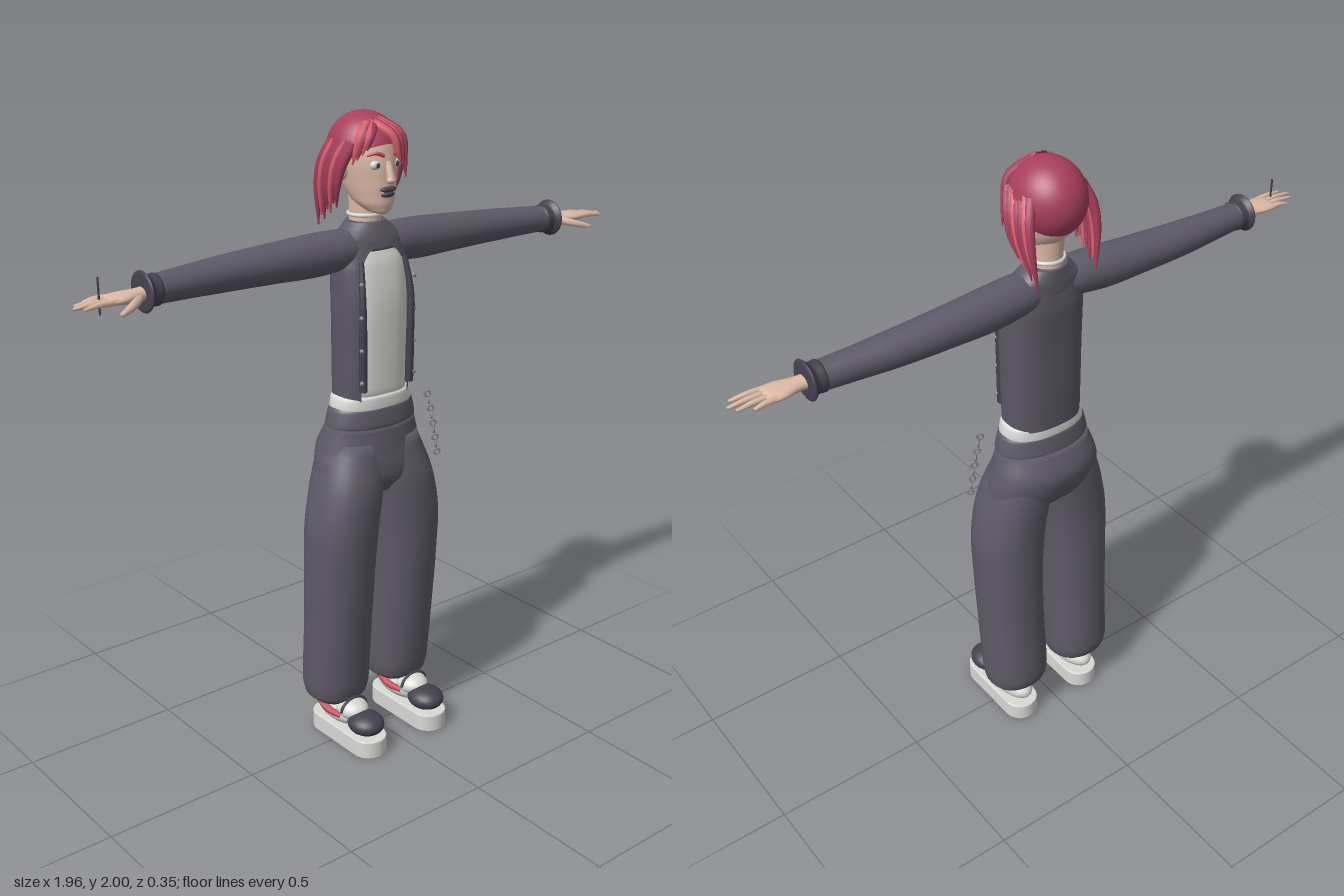
import * as THREE from 'three';

const paint = (name, color, side = THREE.FrontSide) => {
  const m = new THREE.MeshStandardMaterial({ color, side });
  m.name = name;
  return m;
};

// Skin over cross-sections [y, centreX, centreZ, radiusX, radiusZ, frontGap]
function loft(sections, { n = 32, power = 1, steps = 4, open = false } = {}) {
  const V = (a, b, c) => new THREE.Vector3(a, b, c);
  const centres = new THREE.CatmullRomCurve3(sections.map(s => V(s[1], s[0], s[2])), false, 'centripetal');
  const radii = new THREE.CatmullRomCurve3(sections.map(s => V(s[3], s[4], s[5] || 0)), false, 'catmullrom', 0.35);
  const rows = (sections.length - 1) * steps, cols = open ? n + 1 : n;
  const pos = [], idx = [];
  const round = v => Math.sign(v) * Math.pow(Math.abs(v), power);
  for (let i = 0; i <= rows; i++) {
    const c = centres.getPoint(i / rows), r = radii.getPoint(i / rows);
    for (let j = 0; j < cols; j++) {
      const a = Math.PI / 2 + r.z + (2 * Math.PI - 2 * r.z) * j / n;
      pos.push(c.x + r.x * round(Math.cos(a)), c.y, c.z + r.y * round(Math.sin(a)));
    }
  }
  for (let i = 0; i < rows; i++) for (let j = 0; j < n; j++) {
    const a = i * cols + j, b = i * cols + (j + 1) % cols;
    idx.push(a, a + cols, b, b, a + cols, b + cols);
  }
  // end caps
  if (!open) [0, rows].forEach(i => {
    const c = centres.getPoint(i / rows), k = pos.length / 3;
    pos.push(c.x, c.y, c.z);
    for (let j = 0; j < n; j++) {
      const a = i * cols + j, b = i * cols + (j + 1) % n;
      i ? idx.push(k, b, a) : idx.push(k, a, b);
    }
  });
  const g = new THREE.BufferGeometry();
  g.setAttribute('position', new THREE.Float32BufferAttribute(pos, 3));
  g.setIndex(idx);
  g.computeVertexNormals();
  return g;
}

// Tube along points, tapering from full radius to tip * radius
function strand(points, radius, tip = 0.1, seg = 12, sides = 8) {
  const curve = new THREE.CatmullRomCurve3(points.map(p => new THREE.Vector3(...p)));
  const g = new THREE.TubeGeometry(curve, seg, radius, sides);
  const p = g.attributes.position, v = new THREE.Vector3();
  for (let i = 0; i < p.count; i++) {
    const t = Math.floor(i / (sides + 1)) / seg, c = curve.getPointAt(t);
    v.fromBufferAttribute(p, i).sub(c).multiplyScalar(1 + (tip - 1) * t * t).add(c);
    p.setXYZ(i, v.x, v.y, v.z);
  }
  g.computeVertexNormals();
  return g;
}

const ball = (x, y, z, sx, sy, sz) => new THREE.SphereGeometry(1, 24, 16).scale(sx, sy, sz).translate(x, y, z);

function mirrored(geo) {
  const g = (geo.index ? geo.toNonIndexed() : geo.clone()).scale(-1, 1, 1);
  g.setIndex(Array.from({ length: g.attributes.position.count }, (_, i) => i - (i % 3) + 2 - (i % 3)));
  return g;
}

export function createModel() {
  const model = new THREE.Group();
  model.name = 'figure';
  const cloth = paint('charcoal cloth', 0x5e5a68);
  const jacketCloth = paint('jacket cloth', 0x5b5765, THREE.DoubleSide);
  const trim = paint('dark trim', 0x454250);
  const white = paint('off white', 0xd9d9d6);
  const skin = paint('skin', 0xdcb9a6);
  const hair = paint('hair', 0xa83f5c, THREE.DoubleSide);
  const bangs = paint('light hair', 0xd95f6e);
  const red = paint('red accent', 0xc9505f);
  const metal = paint('metal', 0x85858a);

  const add = (name, geo, mat) => {
    const m = new THREE.Mesh(geo, mat);
    m.name = name;
    model.add(m);
  };
  const pair = (name, geo, mat) => {
    add(name + 'Left', geo, mat);
    add(name + 'Right', mirrored(geo), mat);
  };

  // Trousers
  pair('trouserLeg', loft([[0.135, 0.128, -0.045, 0.075, 0.07], [0.155, 0.126, -0.05, 0.098, 0.092],
    [0.2, 0.126, -0.05, 0.105, 0.103], [0.4, 0.128, -0.034, 0.104, 0.107], [0.6, 0.128, -0.022, 0.107, 0.112],
    [0.75, 0.122, -0.016, 0.112, 0.115], [0.88, 0.1, -0.018, 0.108, 0.116], [1.02, 0.065, -0.035, 0.095, 0.1]],
  { power: 0.9 }), cloth);
  add('hips', loft([[0.85, 0, -0.02, 0.12, 0.07], [0.9, 0, -0.025, 0.19, 0.108], [0.95, 0, -0.034, 0.19, 0.117],
    [1.0, 0, -0.04, 0.177, 0.115], [1.07, 0, -0.028, 0.157, 0.094]], { power: 0.92 }), cloth);
  add('waistband', loft([[1.06, 0, -0.027, 0.152, 0.092], [1.075, 0, -0.026, 0.157, 0.094],
    [1.12, 0, -0.025, 0.147, 0.087], [1.13, 0, -0.025, 0.14, 0.083]], { power: 0.92 }), cloth);

  // Shirt, with its hem showing above the waistband
  add('shirt', loft([[1.15, 0, -0.025, 0.115, 0.078], [1.3, 0, -0.023, 0.115, 0.08], [1.45, 0, -0.022, 0.114, 0.08],
    [1.56, 0, -0.03, 0.112, 0.075], [1.62, 0, -0.035, 0.09, 0.06]], { power: 0.8 }), white);
  add('shirtHem', loft([[1.115, 0, -0.025, 0.137, 0.083], [1.13, 0, -0.025, 0.14, 0.085],
    [1.16, 0, -0.025, 0.133, 0.084], [1.168, 0, -0.025, 0.12, 0.078]], { power: 0.88 }), white);

  // Open jacket and closed yoke
  add('jacketBody', loft([[1.155, 0, -0.025, 0.124, 0.085, 0.72], [1.3, 0, -0.023, 0.125, 0.088, 0.72],
    [1.45, 0, -0.022, 0.127, 0.088, 0.74], [1.55, 0, -0.03, 0.125, 0.082, 0.66], [1.59, 0, -0.034, 0.12, 0.074, 0.45],
    [1.63, 0, -0.036, 0.11, 0.067, 0.1]], { power: 0.8, open: true, n: 40 }), jacketCloth);
  add('yoke', loft([[1.605, 0, -0.036, 0.13, 0.07], [1.64, 0, -0.04, 0.125, 0.066], [1.67, 0, -0.045, 0.08, 0.06],
    [1.685, 0, -0.048, 0.062, 0.056]]), cloth);
  pair('jacketEdge', strand([[0.09, 1.19, 0.052], [0.091, 1.35, 0.055], [0.092, 1.47, 0.055], [0.082, 1.58, 0.036]],
    0.013, 0.6), trim);
  for (const y of [1.22, 1.32, 1.42, 1.52]) pair('jacketStud', ball(0.1, y, 0.06, 0.007, 0.007, 0.007), metal);

  // Sleeves run along x: section heights become x, and section x becomes -y
  const along = s => loft(s).rotateZ(-Math.PI / 2);
  pair('sleeve', along([[0.02, -1.607, -0.04, 0.05, 0.055], [0.1, -1.607, -0.042, 0.06, 0.064],
    [0.2, -1.602, -0.048, 0.064, 0.064], [0.35, -1.599, -0.052, 0.058, 0.06], [0.5, -1.596, -0.052, 0.052, 0.055],
    [0.65, -1.593, -0.045, 0.045, 0.046], [0.74, -1.591, -0.039, 0.041, 0.043]]), cloth);
  pair('cuff', along([[0.715, -1.591, -0.04, 0.038, 0.038], [0.728, -1.591, -0.039, 0.045, 0.047],
    [0.75, -1.591, -0.038, 0.044, 0.046], [0.766, -1.591, -0.036, 0.058, 0.06], [0.772, -1.591, -0.036, 0.05, 0.052]]), trim);

  // Hands
  pair('palm', along([[0.75, -1.588, -0.035, 0.02, 0.025], [0.79, -1.587, -0.032, 0.018, 0.026],
    [0.84, -1.587, -0.03, 0.016, 0.04], [0.875, -1.587, -0.03, 0.012, 0.04], [0.885, -1.587, -0.03, 0.006, 0.034]]), skin);
  [[0.93, -0.065, -0.06], [0.968, -0.042, -0.04], [0.982, -0.018, -0.02], [0.965, 0.007, 0.0]].forEach(([x, z, z0]) =>
    pair('finger', strand([[0.86, 1.587, z0], [(x + 0.87) / 2, 1.588, (z + z0) / 2], [x, 1.583, z]], 0.0095, 0.5), skin));
  pair('thumb', strand([[0.79, 1.583, -0.015], [0.83, 1.572, 0.018], [0.878, 1.56, 0.042]], 0.013, 0.5), skin);
  add('fingerSpike', new THREE.CylinderGeometry(0.003, 0.003, 0.1, 8).translate(-0.905, 1.605, -0.02), trim);

  // Neck, choker, head and face
  add('neck', loft([[1.64, 0, -0.05, 0.052, 0.052], [1.7, 0, -0.048, 0.046, 0.05], [1.79, 0, -0.05, 0.05, 0.055]]), skin);
  add('choker', new THREE.TorusGeometry(0.05, 0.006, 8, 32).rotateX(Math.PI / 2).translate(0, 1.703, -0.048), white);
  add('head', loft([[1.713, 0, 0.025, 0.016, 0.02], [1.722, 0, 0.012, 0.036, 0.042], [1.75, 0, -0.012, 0.058, 0.072],
    [1.8, 0, -0.033, 0.072, 0.097], [1.86, 0, -0.042, 0.083, 0.105], [1.92, 0, -0.048, 0.084, 0.1],
    [1.96, 0, -0.05, 0.065, 0.075]]), skin);
  add('nose', strand([[0, 1.865, 0.055], [0, 1.835, 0.066], [0, 1.815, 0.072]], 0.012, 1.1), skin);
  add('noseTip', ball(0, 1.814, 0.072, 0.015, 0.011, 0.013), skin);
  add('upperLip', ball(0, 1.787, 0.058, 0.029, 0.009, 0.015), trim);
  add('lowerLip', ball(0, 1.772, 0.053, 0.025, 0.01, 0.016), trim);
  pair('eye', ball(0.036, 1.857, 0.046, 0.019, 0.014, 0.012), white);
  pair('pupil', ball(0.036, 1.857, 0.056, 0.007, 0.008, 0.004), trim);
  pair('eyebrow', strand([[0.015, 1.883, 0.058], [0.038, 1.891, 0.052], [0.06, 1.884, 0.036]], 0.006, 0.4), red);
  pair('ear', ball(0.083, 1.835, -0.05, 0.013, 0.028, 0.02), skin);

  // Hair cap, tilted so that the forehead is free and the nape covered
  add('hairCap', new THREE.SphereGeometry(1, 40, 24, 0, Math.PI * 2, 0, 1.82).rotateX(-0.52)
    .scale(0.107, 0.115, 0.12).translate(0, 1.885, -0.052), hair);

  // Bangs swept to the left side
  for (let i = 0; i < 8; i++) {
    const t = i / 7;
    add('bang', strand([[-0.02 + 0.03 * t, 1.972 + 0.008 * t, 0.015 - 0.02 * t], [0.015 + 0.055 * t, 1.935, 0.06 - 0.03 * t],
      [0.03 + 0.068 * t, 1.875 - 0.02 * t, 0.072 - 0.055 * t], [0.045 + 0.062 * t, 1.855 - 0.05 * t, 0.07 - 0.06 * t]],
    0.015, 0.12), i % 3 === 1 ? hair : bangs);
  }
  for (let i = 0; i < 4; i++) {
    const t = i / 3;
    add('sideBang', strand([[-0.02 - 0.02 * t, 1.97, 0.012], [-0.05 - 0.025 * t, 1.94, 0.045 - 0.02 * t],
      [-0.067 - 0.03 * t, 1.9 - 0.04 * t, 0.045 - 0.03 * t]], 0.015, 0.12), i % 2 ? bangs : hair);
  }

  // Long side locks
  for (let i = 0; i < 7; i++) {
    const t = i / 6, end = 1.73 - 0.065 * t + (i % 2) * 0.02;
    pair('sideLock', strand([[0.085, 1.92, 0.01 - 0.1 * t], [0.107, 1.86, -0.015 - 0.1 * t],
      [0.112, 1.79, -0.035 - 0.095 * t], [0.1, end, -0.055 - 0.088 * t]], 0.015, 0.15), i % 3 === 2 ? bangs : hair);
  }

  // Shoes on thick soles
  const outline = new THREE.Shape();
  outline.absarc(0, 0.085, 0.053, Math.PI, 0, true);
  outline.absarc(0, -0.116, 0.053, 0, -Math.PI, true);
  const sole = new THREE.ExtrudeGeometry(outline, { depth: 0.052, bevelEnabled: true, bevelSize: 0.004,
    bevelThickness: 0.004, bevelSegments: 2, curveSegments: 14 })
    .rotateX(-Math.PI / 2).translate(0.127, 0.004, 0.015 + 0.008);
  pair('sole', sole.translate(0, 0, -0.018), white);
  pair('shoeUpper', ball(0.127, 0.098, -0.02, 0.054, 0.045, 0.108), white);
  pair('shoeInstep', ball(0.127, 0.118, 0.035, 0.05, 0.035, 0.06), white);
  pair('shoeCollar', loft([[0.09, 0.127, -0.045, 0.05, 0.065], [0.14, 0.127, -0.04, 0.052, 0.062],
    [0.17, 0.127, -0.04, 0.046, 0.055]]), white);
  pair('toeCap', ball(0.127, 0.094, 0.107, 0.057, 0.036, 0.063), trim);
  for (const s of [-1, 1]) pair('shoeStripe', strand([[0.127 + s * 0.046, 0.122, -0.075],
    [0.127 + s * 0.053, 0.107, -0.02], [0.127 + s * 0.05, 0.108, 0.045]], 0.014, 0.6), red);
  pair('shoeStrap', new THREE.TorusGeometry(0.05, 0.005, 8, 24, Math.PI).scale(1, 0.75, 1).translate(0.127, 0.12, 0.045), trim);

  // Hip chain
  for (let i = 0; i < 9; i++) {
    const t = i / 8;
    add('chainLink', new THREE.TorusGeometry(0.009, 0.0035, 6, 14).rotateY(i % 2 ? 0.9 : -0.5)
      .translate(0.19 + 0.036 * Math.pow(t, 0.8), 1.12 - 0.2 * t, 0.025 + 0.008 * t), metal);
  }
  return model;
}
